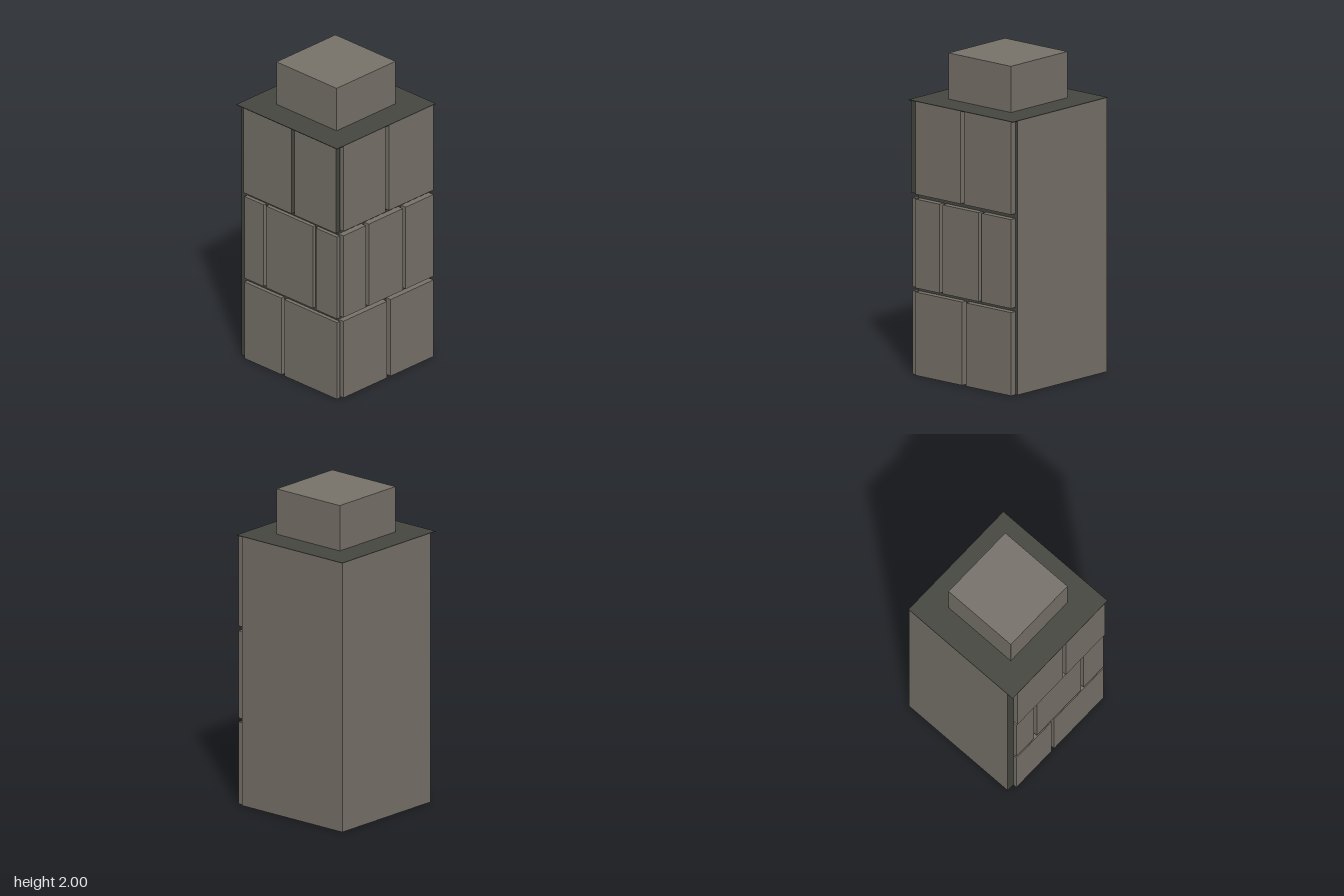
import * as THREE from 'three';

const stone = new THREE.MeshStandardMaterial({ color: 0x78726a, side: THREE.DoubleSide });
stone.name = 'stone';
const mortar = new THREE.MeshStandardMaterial({ color: 0x464740, side: THREE.DoubleSide });
mortar.name = 'mortar';

const X0 = -0.385, X1 = 0.425, Z0 = -0.425, Z1 = 0.385, H = 1.71;

function add(parent, name, geometry, material, x, y, z, ry = 0) {
  const mesh = new THREE.Mesh(geometry, material);
  mesh.name = name;
  mesh.position.set(x, y, z);
  mesh.rotation.y = ry;
  parent.add(mesh);
  return mesh;
}

// Rows of slabs: height range, [start, end] of each slab along the wall, outer face
const frontRows = [
  { y: [0, 0.52], spans: [[-0.37, 0.01], [0.04, 0.41]], out: 0.425 },
  { y: [0.545, 1.1], spans: [[-0.37, -0.175], [-0.15, 0.145], [0.17, 0.41]], out: 0.425 },
  { y: [1.13, H], spans: [[-0.37, -0.005], [0.025, 0.41]], out: 0.425 },
];
const sideRows = [
  { y: [0, 0.52], spans: [[-0.375, -0.06], [-0.035, 0.41]], out: -0.41 },
  { y: [0.545, 1.1], spans: [[-0.375, -0.215], [-0.19, 0.205], [0.23, 0.41]], out: -0.41 },
  { y: [1.13, H], spans: [[-0.375, 0.035], [0.06, 0.41]], out: -0.42 },
];

export function createModel() {
  const model = new THREE.Group();
  model.name = 'stonePillar';

  // Hollow shaft, open at the bottom: two mortar walls and two plain stone walls
  const w = X1 - X0, d = Z1 - Z0, cx = (X0 + X1) / 2, cz = (Z0 + Z1) / 2;
  const wide = new THREE.PlaneGeometry(w, H), deep = new THREE.PlaneGeometry(d, H);
  add(model, 'frontMortarWall', wide, mortar, cx, H / 2, Z1);
  add(model, 'rightMortarWall', deep, mortar, X0, H / 2, cz, -Math.PI / 2);
  add(model, 'backStoneWall', wide, stone, cx, H / 2, Z0, Math.PI);
  add(model, 'leftStoneWall', deep, stone, X1, H / 2, cz, Math.PI / 2);

  // Slabs on the front wall
  const front = new THREE.Group();
  front.name = 'frontSlabs';
  for (const { y, spans, out } of frontRows) {
    for (const [a, b] of spans) {
      const t = out - Z1;
      add(front, 'frontSlab', new THREE.BoxGeometry(b - a, y[1] - y[0], t), stone,
        (a + b) / 2, (y[0] + y[1]) / 2, Z1 + t / 2);
    }
  }
  model.add(front);

  // Slabs on the -x wall; the end of the top row is mortar
  const side = new THREE.Group();
  side.name = 'sideSlabs';
  sideRows.forEach(({ y, spans, out }, row) => {
    for (const [a, b] of spans) {
      const t = X0 - out;
      const end = row === 2 ? mortar : stone;
      add(side, 'sideSlab', new THREE.BoxGeometry(t, y[1] - y[0], b - a),
        [stone, stone, stone, stone, end, stone],
        out + t / 2, (y[0] + y[1]) / 2, (a + b) / 2);
    }
  });
  model.add(side);

  // Thin cap and the block on top
  add(model, 'cap', new THREE.BoxGeometry(0.854, 0.004, 0.854), mortar, 0, H, 0);
  add(model, 'topBlock', new THREE.BoxGeometry(0.51, 2 - H, 0.51), stone, 0, (2 + H) / 2, 0);

  return model;
}
